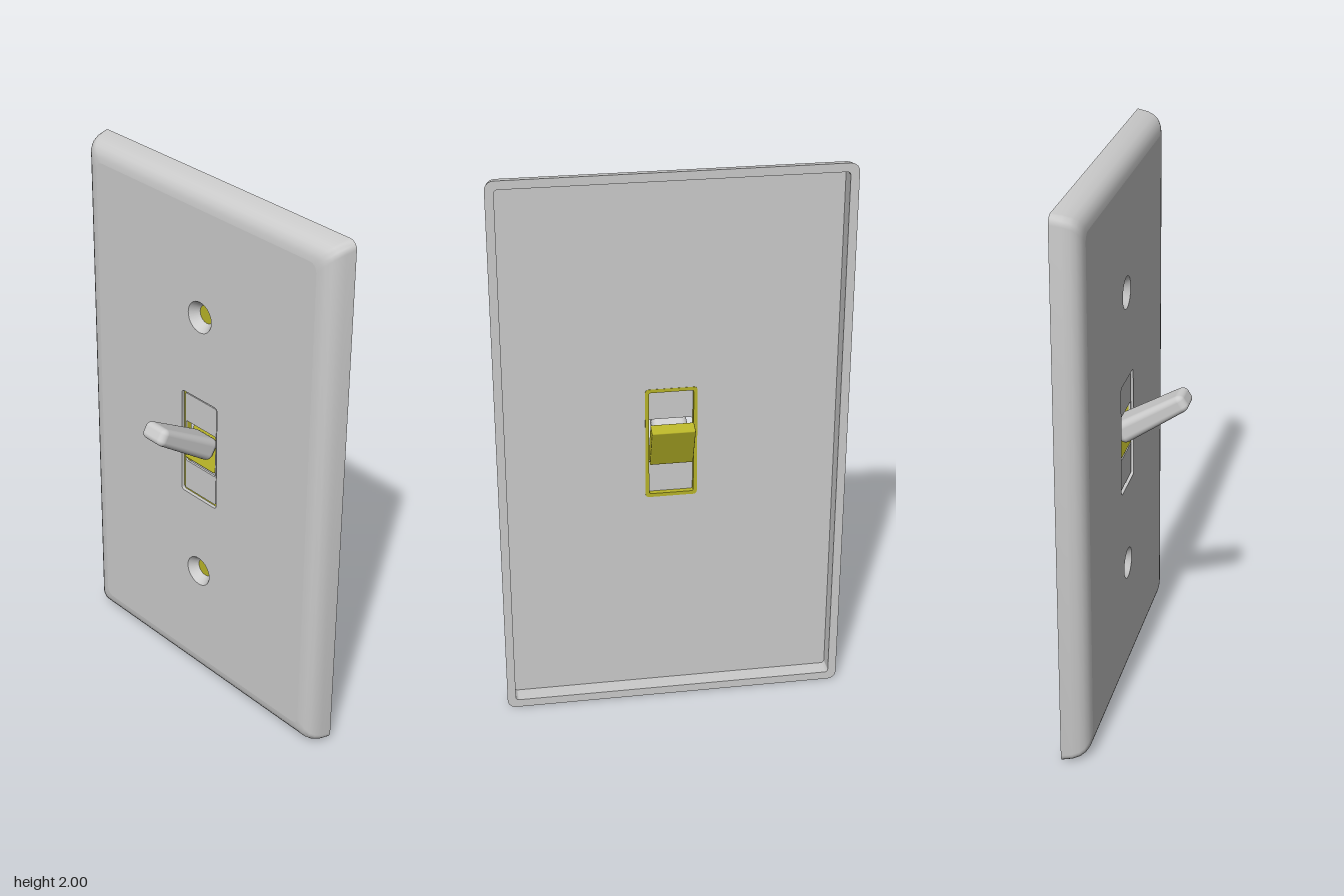
import * as THREE from 'three';
import { toCreasedNormals } from 'three/addons/utils/BufferGeometryUtils.js';
import { RoundedBoxGeometry } from 'three/addons/geometries/RoundedBoxGeometry.js';

const MID = 1;              // height of the plate centre
const HW = 0.61, HH = 1;    // plate half width and half height
const FRONT = -0.066, FLOOR = -0.1, BACK = -0.163;

const grey = new THREE.MeshStandardMaterial({ color: 0xcccccc });
const olive = new THREE.MeshStandardMaterial({ color: 0xb8b428 });

function add(parent, name, geometry, material, x = 0, y = 0, z = 0) {
  const mesh = new THREE.Mesh(geometry, material);
  mesh.name = name;
  mesh.position.set(x, y, z);
  parent.add(mesh);
  return mesh;
}

// Counter-clockwise points of a rounded rectangle
function roundedRect(hw, hh, r, steps = 5) {
  const points = [];
  [[1, 1], [-1, 1], [-1, -1], [1, -1]].forEach(([sx, sy], corner) => {
    for (let i = 0; i <= steps; i++) {
      const a = (corner + i / steps) * Math.PI / 2;
      points.push(new THREE.Vector2(sx * (hw - r) + r * Math.cos(a), sy * (hh - r) + r * Math.sin(a)));
    }
  });
  return points;
}

// Skin over a row of rounded rectangles [halfWidth, halfHeight, z, radius]
function loft(sections) {
  const positions = [], index = [];
  const loops = sections.map(([hw, hh, z, r]) => roundedRect(hw, hh, r).map((p) => [p.x, p.y, z]));
  const n = loops[0].length;
  loops.forEach((loop) => loop.forEach((p) => positions.push(...p)));
  for (let j = 0; j < loops.length - 1; j++) {
    for (let i = 0; i < n; i++) {
      const k = (i + 1) % n;
      const a = j * n + i, b = j * n + k, c = b + n, d = a + n;
      index.push(a, b, c, a, c, d);
    }
  }
  const geometry = new THREE.BufferGeometry();
  geometry.setAttribute('position', new THREE.Float32BufferAttribute(positions, 3));
  geometry.setIndex(index);
  return toCreasedNormals(geometry, 0.7);
}

function shapeWithHoles(outline, holes) {
  const shape = new THREE.Shape(outline);
  holes.forEach((h) => shape.holes.push(new THREE.Path(h)));
  return shape;
}

function circle(y, r, n = 32) {
  return Array.from({ length: n }, (_, i) => {
    const a = i / n * Math.PI * 2;
    return new THREE.Vector2(r * Math.cos(a), y + r * Math.sin(a));
  });
}

export function createModel() {
  const model = new THREE.Group();
  model.name = 'lightSwitch';

  // Wall plate, hollow at the back with a rounded front edge
  const plate = new THREE.Group();
  plate.name = 'wallPlate';
  plate.position.y = MID;
  model.add(plate);
  const profile = [
    [0.03, FLOOR, 0.012], [0.03, BACK, 0.012],
    [0, BACK, 0.03], [0.006, -0.125, 0.03], [0.015, -0.1, 0.03], [0.026, -0.084, 0.03],
    [0.042, -0.073, 0.03], [0.058, -0.068, 0.03], [0.075, FRONT, 0.03],
  ];
  add(plate, 'plateRim', loft(profile.map(([inset, z, r]) => [HW - inset, HH - inset, z, r])), grey);

  // Front face and back floor with their openings
  const winW = 0.091, winH = 0.208, screwY = 0.528;
  const opening = roundedRect(winW, winH, 0.012);
  const face = shapeWithHoles(roundedRect(HW - 0.075, HH - 0.075, 0.03),
    [opening, circle(screwY, 0.058), circle(-screwY, 0.058)]);
  add(plate, 'plateFace', new THREE.ShapeGeometry(face), grey, 0, 0, FRONT);
  const floor = shapeWithHoles(roundedRect(HW - 0.03, HH - 0.03, 0.012), [opening]);
  const floorMesh = add(plate, 'plateBack', new THREE.ShapeGeometry(floor), grey, 0, 0, FLOOR);
  floorMesh.rotation.y = Math.PI;
  add(plate, 'windowWall', loft([[winW, winH, FRONT, 0.012], [winW, winH, FLOOR, 0.012]]), grey);

  // Countersunk screw holes
  const sink = new THREE.MeshStandardMaterial({ color: 0xcccccc, side: THREE.DoubleSide });
  for (const side of [1, -1]) {
    const cone = new THREE.CylinderGeometry(0.058, 0.033, FRONT - FLOOR, 32, 1, true);
    cone.rotateX(Math.PI / 2);
    add(plate, 'countersink', cone, sink, 0, side * screwY, (FRONT + FLOOR) / 2);
    add(plate, 'screwHoleBottom', new THREE.CircleGeometry(0.034, 32), olive, 0, side * screwY, FLOOR + 0.001);
  }

  // Frame lining the window
  const frame = shapeWithHoles(roundedRect(winW, winH, 0.012), [roundedRect(0.078, 0.195, 0.006)]);
  add(plate, 'windowFrame', new THREE.ExtrudeGeometry(frame, { depth: 0.022, bevelEnabled: false, curveSegments: 6 }),
    olive, 0, 0, FLOOR - 0.001);

  // Recessed panel with a slot for the lever
  const slot = roundedRect(0.077, 0.083, 0.008).map((p) => p.add(new THREE.Vector2(0, 0.002)));
  const panel = shapeWithHoles(roundedRect(0.081, 0.198, 0.008), [slot]);
  add(plate, 'windowPanel', new THREE.ExtrudeGeometry(panel, { depth: 0.008, bevelEnabled: false }),
    grey, 0, 0, -0.081);

  // Tilted block that carries the lever
  const block = add(model, 'leverBlock', new RoundedBoxGeometry(0.152, 0.156, 0.045, 2, 0.004),
    olive, 0, MID + 0.002, -0.114);
  block.rotation.x = -0.35;

  // Lever, tapering towards its rounded tip
  const length = 0.285;
  const lever = new RoundedBoxGeometry(0.13, 0.084, length, 6, 0.026);
  const pos = lever.attributes.position;
  for (let i = 0; i < pos.count; i++) {
    const t = pos.getZ(i) / length + 0.5;
    pos.setXY(i, pos.getX(i) * (1 - 0.2 * t), pos.getY(i) * (1 - 0.27 * t));
  }
  const leverMesh = add(model, 'lever', lever, grey, 0, MID + 0.084, 0.029);
  leverMesh.rotation.x = -0.56;

  return model;
}
